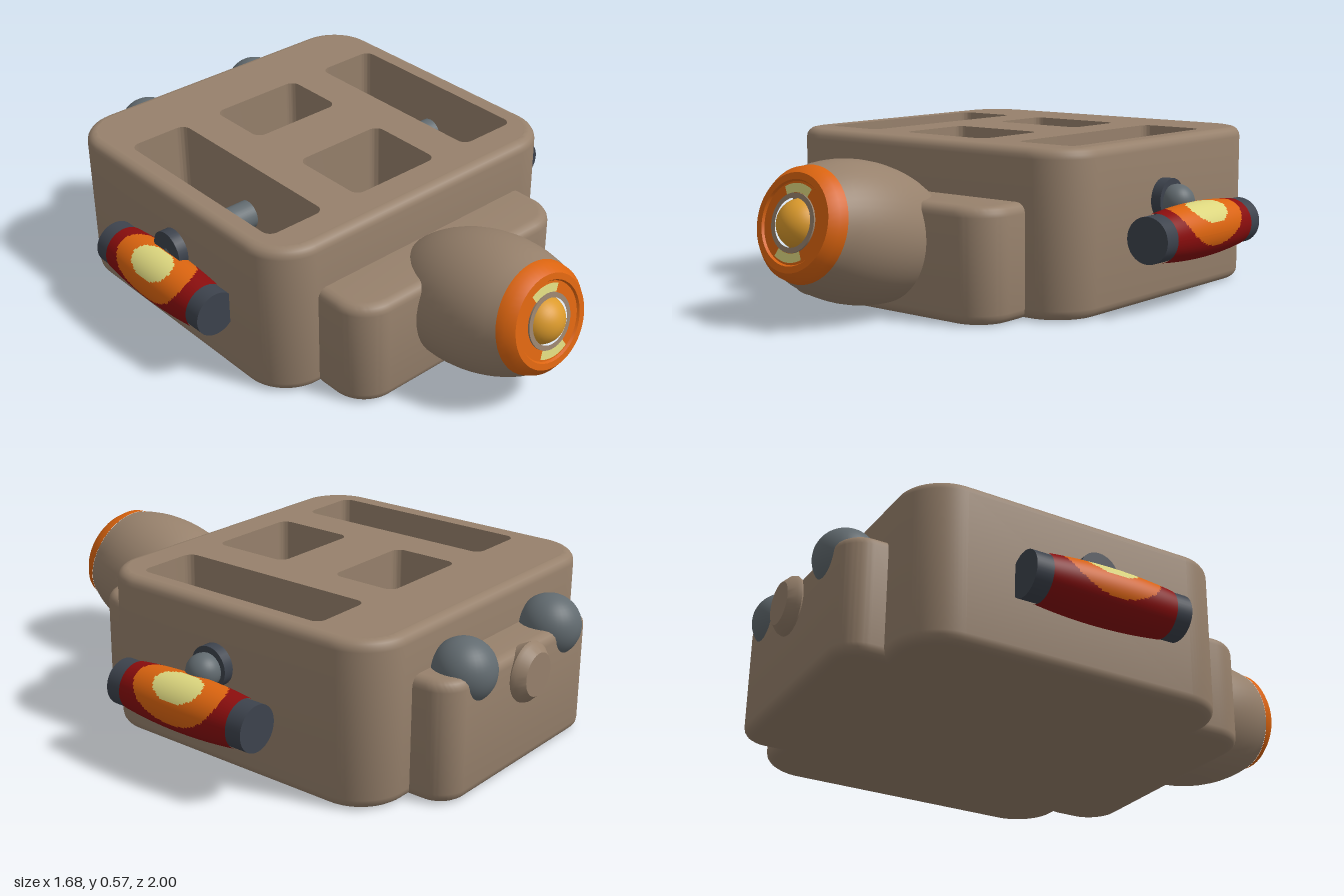
import * as THREE from 'three';
import { toCreasedNormals } from 'three/addons/utils/BufferGeometryUtils.js';

const mat = (name, color) => new THREE.MeshStandardMaterial({ name, color });

// Rounded rectangle seen from above (shape y is -z)
function roundRect(x0, x1, z0, z1, r, Type = THREE.Shape) {
  const s = new Type(), h = Math.PI / 2;
  s.absarc(x1 - r, -z0 - r, r, 0, h, false);
  s.absarc(x0 + r, -z0 - r, r, h, 2 * h, false);
  s.absarc(x0 + r, -z1 + r, r, 2 * h, 3 * h, false);
  s.absarc(x1 - r, -z1 + r, r, 3 * h, 4 * h, false);
  s.closePath();
  return s;
}

// Upright extrusion from y0 to y1 with an edge bevel
function slab(shape, y0, y1, bevel = 0) {
  const g = new THREE.ExtrudeGeometry(shape, {
    depth: y1 - y0 - 2 * bevel, bevelEnabled: bevel > 0, bevelSize: bevel,
    bevelThickness: bevel, bevelOffset: -bevel, bevelSegments: 4, curveSegments: 10,
  });
  g.rotateX(-Math.PI / 2).translate(0, y0 + bevel, 0);
  return toCreasedNormals(g, 0.7);
}

const lathe = (pts) => toCreasedNormals(
  new THREE.LatheGeometry(pts.map(([r, y]) => new THREE.Vector2(r, y)), 48), 0.6);

// Bulging barrel along z; cells inside nested ellipses go to other material groups
function barrelGeometry(length, side) {
  const nu = 96, nv = 64, pos = [], cells = [[], [], []];
  const centre = side > 0 ? Math.PI / 3 : Math.PI * 2 / 3;
  for (let j = 0; j <= nv; j++) {
    const t = j / nv * 2 - 1, r = 0.097 - 0.014 * t * t;
    for (let i = 0; i <= nu; i++) {
      const a = i / nu * Math.PI * 2;
      pos.push(r * Math.cos(a), r * Math.sin(a), t * length / 2);
    }
  }
  for (let j = 0; j < nv; j++) for (let i = 0; i < nu; i++) {
    const z = ((j + 0.5) / nv - 0.5) * length;
    let d = (i + 0.5) / nu * Math.PI * 2 - centre;
    d = Math.atan2(Math.sin(d), Math.cos(d));
    const inside = (w, l) => (d / w) ** 2 + (z / l) ** 2 < 1;
    const k = inside(0.68, 0.1) ? 2 : inside(1.5, 0.185) ? 1 : 0;
    const a = j * (nu + 1) + i, b = a + 1, c = b + nu + 1, e = a + nu + 1;
    cells[k].push(a, b, c, a, c, e);
  }
  const g = new THREE.BufferGeometry();
  g.setAttribute('position', new THREE.Float32BufferAttribute(pos, 3));
  g.setIndex(cells.flat());
  let start = 0;
  cells.forEach((c, k) => { g.addGroup(start, c.length, k); start += c.length; });
  g.computeVertexNormals();
  return g;
}

export function createModel() {
  const root = new THREE.Group();
  const brown = mat('brown', 0x97816c), slate = mat('slate', 0x3d434d);
  const grey = mat('grey', 0x626b70), red = mat('dark red', 0x8a0d0d);
  const orange = mat('orange', 0xdb640f), pale = mat('pale yellow', 0xdcd67e);
  const amber = mat('amber', 0xdb9a2c);

  const add = (name, geo, material, x = 0, y = 0, z = 0, parent = root) => {
    const m = new THREE.Mesh(geo, material);
    m.name = name;
    m.position.set(x, y, z);
    parent.add(m);
    return m;
  };
  const rod = (name, r, x0, x1, y, z, material) => add(name,
    new THREE.CylinderGeometry(r, r, x1 - x0, 32).rotateZ(Math.PI / 2),
    material, (x0 + x1) / 2, y, z);
  const ball = (name, r, x, y, z, material, parent) =>
    add(name, new THREE.SphereGeometry(r, 32, 24), material, x, y, z, parent);

  const cx = -0.04, X0 = -0.69, X1 = 0.61, Z0 = -0.81, Z1 = 0.38, H = 0.57, floor = 0.1;
  const inset = (d, Type) => roundRect(X0 + d, X1 - d, Z0 + d, Z1 - d, 0.17 - d, Type);

  // Body: bevelled rim around a core with four pockets
  const rim = inset(0);
  rim.holes.push(inset(0.075, THREE.Path));
  add('bodyRim', slab(rim, 0, H, 0.035), brown);
  const core = inset(0.037);
  const pockets = [[-0.605, -0.37, -0.54, 0.24], [0.29, 0.53, -0.54, 0.24],
    [-0.225, 0.145, -0.54, -0.29], [-0.225, 0.145, -0.065, 0.24]];
  for (const p of pockets) core.holes.push(roundRect(...p, 0.035, THREE.Path));
  add('bodyPockets', slab(core, floor, H), brown);
  add('bodyFloor', slab(inset(0.037), 0, floor), brown);

  // Stepped blocks at front and back
  add('frontBlock', slab(roundRect(-0.52, 0.44, 0.26, 0.59, 0.13), 0, 0.39, 0.035), brown);
  add('backBlock', slab(roundRect(-0.475, 0.4, -0.955, -0.6, 0.1), 0, 0.42, 0.035), brown);

  // Rods and ball joint in the pockets
  rod('mainAxle', 0.052, X0 + 0.01, X1 - 0.01, 0.36, -0.175, grey);
  rod('crossRod', 0.04, -0.24, 0.16, 0.36, -0.365, grey);
  add('jointSocket', new THREE.CylinderGeometry(0.15, 0.15, 0.1, 40), slate, cx, floor + 0.05, 0.09);
  ball('jointBall', 0.115, cx, 0.21, 0.09, grey);

  // Nose, tilted slightly upwards
  const nose = new THREE.Group();
  nose.name = 'nose';
  nose.position.set(cx, 0.28, 0.68);
  nose.rotation.x = Math.PI / 2 - 0.235;
  root.add(nose);
  const shell = [];
  for (let i = 0; i <= 20; i++) {
    const a = -Math.PI / 2 + i / 20 * (Math.PI / 2 + Math.asin(0.235 / 0.39));
    shell.push([Math.max(0, 0.242 * Math.cos(a)), 0.39 * Math.sin(a)]);
  }
  add('noseShell', lathe(shell), brown, 0, 0, 0, nose);
  add('noseBand', lathe([[0.194, 0.235], [0.186, 0.265], [0.162, 0.292], [0.14, 0.292],
    [0.135, 0.284], [0.095, 0.284]]), orange, 0, 0, 0, nose);
  add('noseSeat', lathe([[0.097, 0.27], [0.097, 0.29], [0.08, 0.29]]), brown, 0, 0, 0, nose);
  ball('noseTip', 0.085, 0, 0.245, 0, amber, nose);
  for (const mid of [Math.PI / 2, -Math.PI / 2]) {
    add('noseMark', new THREE.RingGeometry(0.098, 0.128, 16, 1, mid - 0.5, 1)
      .rotateX(-Math.PI / 2), pale, 0, 0.287, 0, nose);
  }
  add('noseNeck', new THREE.CylinderGeometry(0.088, 0.05, 0.1, 32).rotateX(Math.PI / 2),
    slate, cx, 0.335, 0.425);

  // Side barrels with their hubs
  for (const side of [-1, 1]) {
    const wall = side > 0 ? X1 : -X0, z = -0.175;
    const ends = [side * (wall - 0.02), side * (wall + 0.038)].sort((a, b) => a - b);
    rod('hubDisc', 0.073, ...ends, 0.36, z, slate);
    ball('hubBall', 0.06, side * 0.67, 0.355, z, grey);
    add('barrelCore', new THREE.CylinderGeometry(0.08, 0.08, 0.59, 40).rotateX(Math.PI / 2),
      slate, side * 0.745, 0.263, z);
    add('barrelSleeve', barrelGeometry(0.47, side), [red, orange, pale], side * 0.745, 0.263, z);
  }

  // Rear balls and tail knob
  for (const s of [-1, 1]) ball('rearBall', 0.11, cx + s * 0.26, 0.403, -0.88, grey);
  add('tailKnob', lathe([[0.08, 0], [0.08, 0.11], [0.105, 0.16], [0.1, 0.175], [0.075, 0.2], [0, 0.2]])
    .rotateX(-Math.PI / 2), brown, cx, 0.335, -0.8);

  return root;
}
